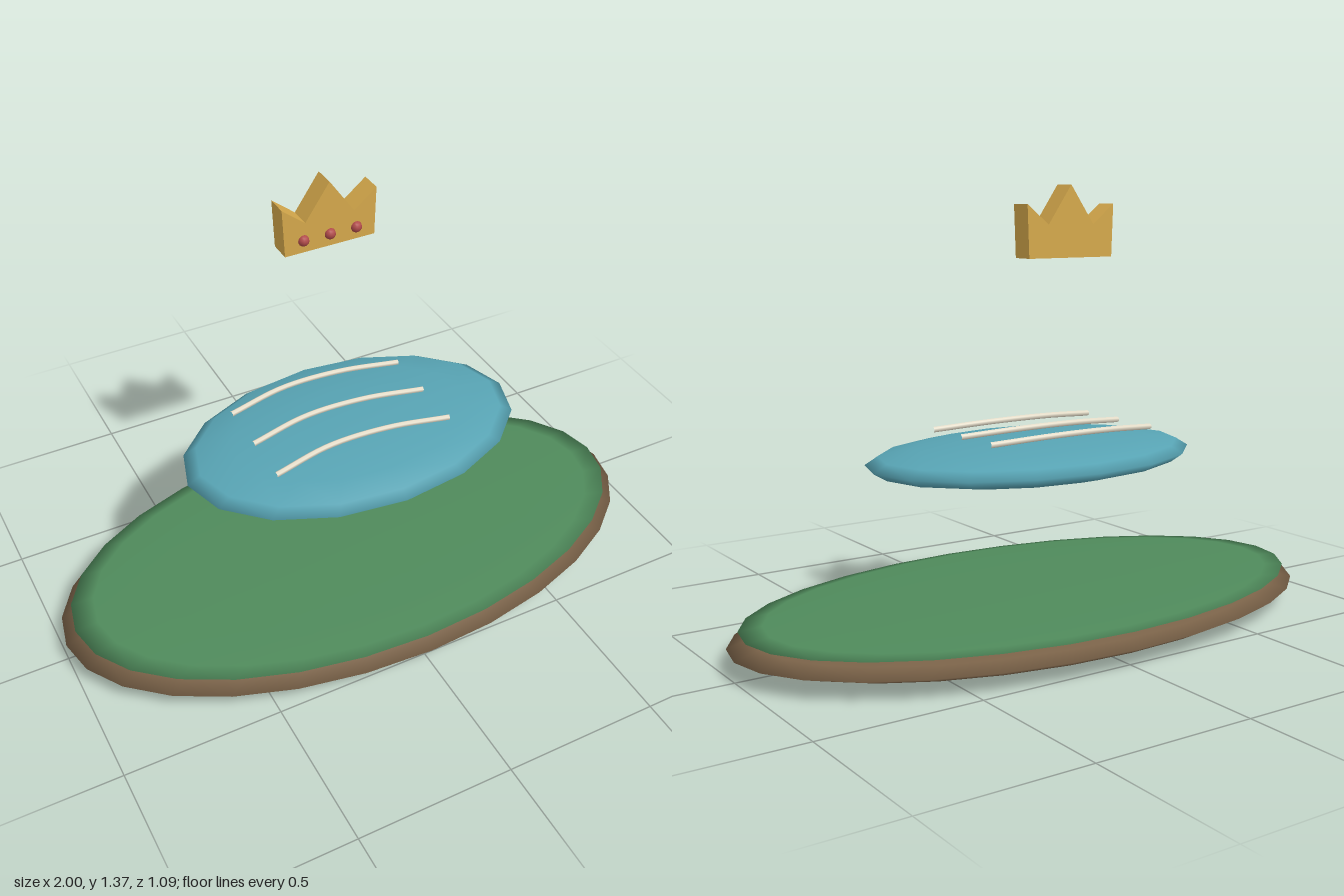
import * as THREE from 'three';

const material = (color) => new THREE.MeshStandardMaterial({ color });

function addMesh(parent, name, geometry, mat) {
  const mesh = new THREE.Mesh(geometry, mat);
  mesh.name = name;
  parent.add(mesh);
  return mesh;
}

// Flattened ellipsoid: radii along x, y, z and height of its centre
function addDisc(parent, name, color, sides, [rx, ry, rz], y) {
  const geometry = new THREE.SphereGeometry(1, sides, 8);
  geometry.scale(rx, ry, rz);
  addMesh(parent, name, geometry, material(color)).position.y = y;
}

export function createModel() {
  const model = new THREE.Group();
  model.name = 'crownOverPond';

  // Ground: earth slab with a thin grass layer
  addDisc(model, 'earthBase', 0x7a6248, 28, [1, 0.059, 0.545], 0.059);
  addDisc(model, 'grassTop', 0x4f8a5b, 28, [0.965, 0.0165, 0.522], 0.105);

  // Floating water with three ripples
  addDisc(model, 'water', 0x57a3b3, 16, [0.556, 0.065, 0.364], 0.539);
  const rippleMaterial = material(0xe8e0cc);
  const ripples = new THREE.Group();
  ripples.name = 'ripples';
  model.add(ripples);
  for (const z of [-0.165, 0, 0.163]) {
    const curve = new THREE.CatmullRomCurve3([
      new THREE.Vector3(-0.335, 0.619, z),
      new THREE.Vector3(-0.14, 0.632, z - 0.034),
      new THREE.Vector3(0.06, 0.631, z - 0.03),
      new THREE.Vector3(0.26, 0.619, z),
    ]);
    addMesh(ripples, 'ripple', new THREE.TubeGeometry(curve, 20, 0.009, 6), rippleMaterial);
  }

  // Crown: extruded zigzag outline
  const crown = new THREE.Group();
  crown.name = 'crown';
  crown.position.set(0, 1.157, -0.202);
  model.add(crown);
  const outline = [
    [-0.148, 0], [0.148, 0], [0.154, 0.156], [0.08, 0.097],
    [0, 0.212], [-0.08, 0.097], [-0.154, 0.156],
  ].map(([x, y]) => new THREE.Vector2(x, y));
  const band = new THREE.ExtrudeGeometry(new THREE.Shape(outline), { depth: 0.07, bevelEnabled: false });
  addMesh(crown, 'crownBand', band, material(0xd4a84b));

  // Jewels on the front of the crown
  const jewelMaterial = material(0xb04a4a);
  for (const x of [-0.087, 0, 0.087]) {
    const jewel = addMesh(crown, 'jewel', new THREE.SphereGeometry(0.018, 10, 8), jewelMaterial);
    jewel.position.set(x, 0.04, 0.069);
  }

  return model;
}
